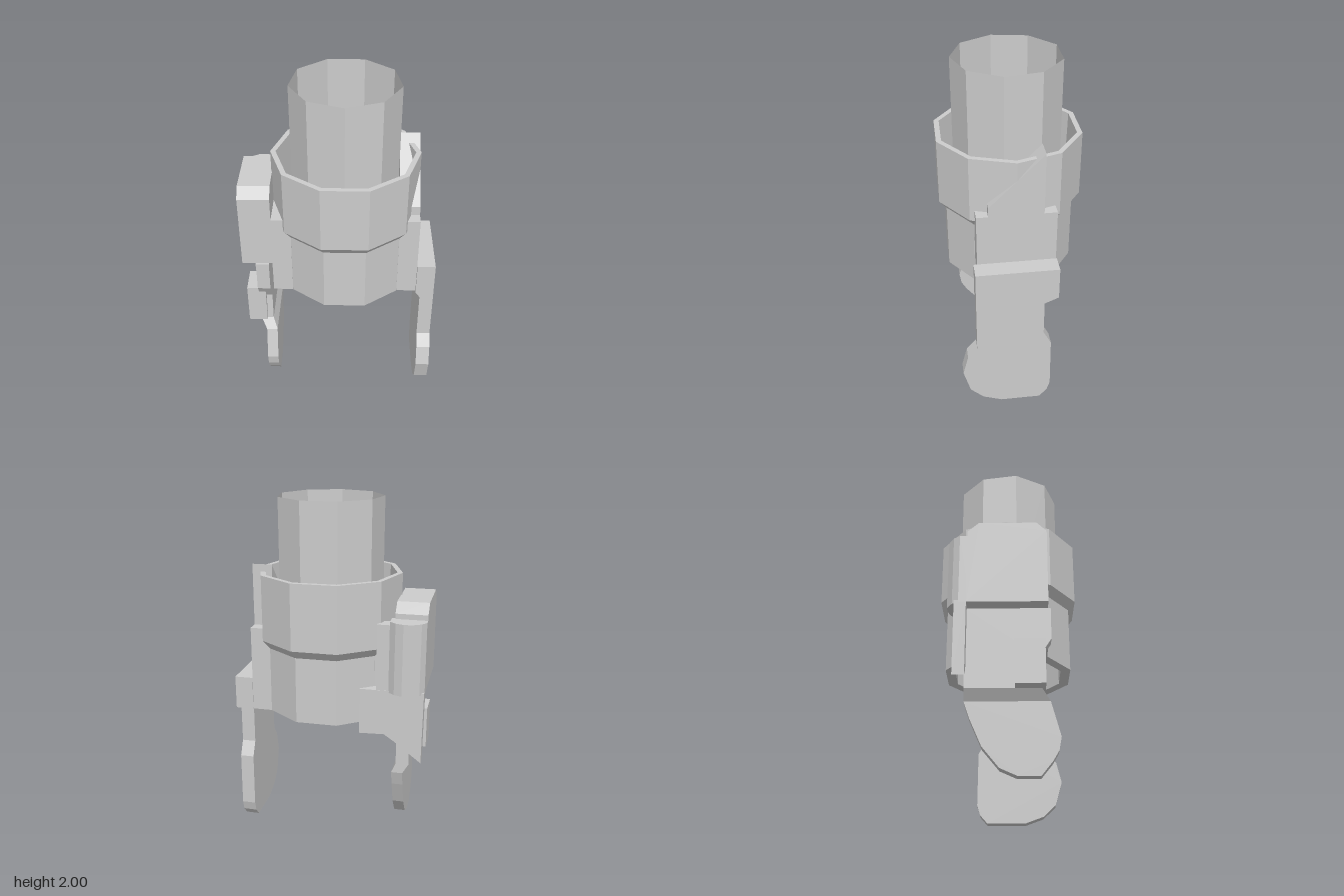
import * as THREE from 'three';

const mat = new THREE.MeshStandardMaterial({ color: 0xcccccc, flatShading: true });
const openMat = new THREE.MeshStandardMaterial({ color: 0xcccccc, flatShading: true, side: THREE.DoubleSide });
const CX = 0.035; // axis of the round body

const toShape = (pts) => new THREE.Shape(pts.map(([a, b]) => new THREE.Vector2(a, b)));
const extrude = (pts, depth) =>
  new THREE.ExtrudeGeometry(toShape(pts), { depth, bevelEnabled: false });

// Profile given as [z, y], extruded between two x positions
function slabX(pts, x0, x1) {
  return extrude(pts, x1 - x0).rotateY(-Math.PI / 2).translate(x1, 0, 0);
}

// Rectangular block between two corners
function block(x0, x1, y0, y1, z0, z1) {
  return new THREE.BoxGeometry(x1 - x0, y1 - y0, z1 - z0)
    .translate((x0 + x1) / 2, (y0 + y1) / 2, (z0 + z1) / 2);
}

// Moves the vertices below a height: rule(x) returns the new x
function shiftBelow(geo, y, rule) {
  const p = geo.attributes.position;
  for (let i = 0; i < p.count; i++) if (p.getY(i) < y) p.setX(i, rule(p.getX(i)));
  geo.computeVertexNormals();
  return geo;
}

export function createModel() {
  const model = new THREE.Group();
  const add = (name, geo, parent = model, material = mat) => {
    const mesh = new THREE.Mesh(geo, material);
    mesh.name = name;
    parent.add(mesh);
    return mesh;
  };
  const group = (name) => {
    const g = new THREE.Group();
    g.name = name;
    model.add(g);
    return g;
  };

  // Ten-sided socket: lower sleeve, flared collar, hollow top and bottom
  const profile = [
    [0, 1.12], [0.32, 1.12], [0.32, 0.765], [0.378, 0.765], [0.378, 1.15],
    [0.42, 1.2], [0.42, 1.58], [0.39, 1.58], [0.38, 1.2], [0, 1.2],
  ].map(([r, y]) => new THREE.Vector2(r, y));
  add('socketBody', new THREE.LatheGeometry(profile, 10, Math.PI / 2).translate(CX, 0, 0), model, openMat);

  // Nine-sided open tube standing in the collar
  add('innerTube', new THREE.CylinderGeometry(0.304, 0.304, 0.8, 9, 1, true).translate(0.032, 1.6, 0), model, openMat);

  // Plates on both sides of the sleeve
  add('leftSidePlate', block(0.3, 0.455, 0.765, 1.265, -0.22, 0.22));
  add('rightSidePlate', block(-0.385, -0.25, 0.765, 1.265, -0.22, 0.22));

  // Sloped fin on the left plate
  add('slopedFin', slabX([[0.155, 1.26], [0.155, 1.32], [-0.148, 1.623], [-0.148, 1.26]], 0.34, 0.455));

  // Left claw: thick root, tapered step, wide foot
  const leftClaw = group('leftClaw');
  add('leftClawRoot', slabX([[-0.225, 0.765], [0.24, 0.765], [0.24, 0.96], [-0.225, 0.96]], 0.455, 0.56), leftClaw);
  add('leftClawStep', shiftBelow(
    slabX([[-0.145, 0.73], [0.24, 0.73], [0.24, 0.765], [-0.225, 0.765]], 0.455, 0.56),
    0.75, (x) => (x < 0.5 ? 0.48 : x)), leftClaw);
  add('leftClawFoot', slabX([
    [-0.145, 0.73], [-0.145, 0.515], [-0.19, 0.43], [-0.193, 0.11], [-0.175, 0.05], [-0.13, 0],
    [0.1, 0], [0.21, 0.04], [0.285, 0.11], [0.325, 0.25], [0.295, 0.37], [0.24, 0.435], [0.24, 0.73],
  ], 0.48, 0.56), leftClaw);

  // Right claw: straight root, sideways kink, curved foot
  const rightClaw = group('rightClaw');
  add('rightClawRoot', slabX([
    [-0.225, 0.96], [-0.225, 0.5], [0.18, 0.5], [0.17, 0.675], [0.235, 0.78], [0.235, 0.96],
  ], -0.48, -0.405), rightClaw);
  add('rightClawKink', shiftBelow(
    slabX([[-0.225, 0.5], [-0.225, 0.44], [0.225, 0.44], [0.18, 0.5]], -0.48, -0.405),
    0.47, (x) => (x < -0.44 ? -0.445 : -0.38)), rightClaw);
  add('rightClawFoot', slabX([
    [-0.225, 0.44], [-0.195, 0.35], [-0.13, 0.2], [-0.04, 0.09], [0.05, 0.05], [0.17, 0.05],
    [0.23, 0.125], [0.262, 0.18], [0.275, 0.25], [0.225, 0.44],
  ], -0.445, -0.38), rightClaw);
  add('rightClawPad', block(-0.55, -0.44, 0.5, 0.75, 0.04, 0.2), rightClaw);

  // Chamfered housing on the right side
  const housing = group('rightHousing');
  add('housingBlock', slabX([
    [-0.218, 0.96], [0.22, 0.96], [0.22, 1.4], [0.165, 1.455], [-0.157, 1.455], [-0.218, 1.4],
  ], -0.56, -0.38), housing);

  // Rounded bulge behind the housing, outlined as [x, -z] and raised along y
  add('rearBulge', extrude([
    [-0.56, 0.2], [-0.36, 0.2], [-0.36, 0.28], [-0.395, 0.31], [-0.44, 0.325],
    [-0.485, 0.325], [-0.535, 0.295], [-0.56, 0.26],
  ], 0.41).rotateX(-Math.PI / 2).translate(0, 0.96, 0), housing);
  add('rearBridge', block(-0.37, -0.29, 0.96, 1.35, -0.28, -0.2), housing);

  // Tapered guard plate hanging at the back
  add('rearGuard', extrude([
    [-0.56, 0.97], [-0.555, 0.545], [-0.4, 0.665], [-0.34, 0.705], [-0.197, 0.7], [-0.197, 0.97],
  ], 0.065).translate(0, 0, -0.283), housing);

  return model;
}
